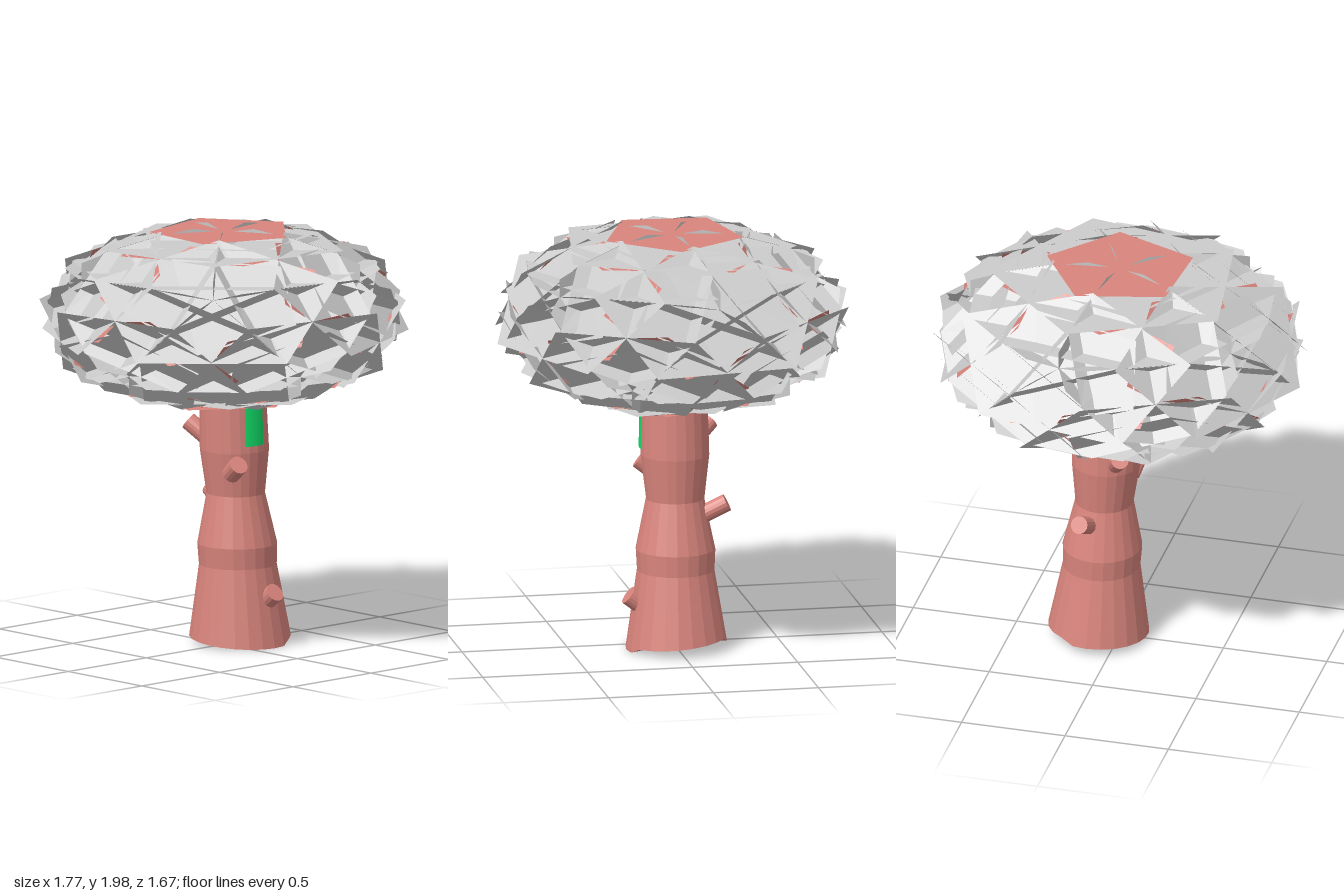
import * as THREE from 'three';

const grey = new THREE.MeshStandardMaterial({ color: 0xcccccc, side: THREE.DoubleSide, flatShading: true });
const pink = new THREE.MeshStandardMaterial({ color: 0xd9857d, side: THREE.DoubleSide, flatShading: true });
const bark = new THREE.MeshStandardMaterial({ color: 0xd9857d, flatShading: true });
const moss = new THREE.MeshStandardMaterial({ color: 0x12e06a, side: THREE.DoubleSide });

function add(parent, name, geometry, material) {
  const mesh = new THREE.Mesh(geometry, material);
  mesh.name = name;
  parent.add(mesh);
  return mesh;
}

// Move every vertex by a rule
function warp(geometry, rule) {
  const p = geometry.attributes.position, v = new THREE.Vector3();
  for (let i = 0; i < p.count; i++) {
    rule(v.fromBufferAttribute(p, i));
    p.setXYZ(i, v.x, v.y, v.z);
  }
  geometry.computeVertexNormals();
  return geometry;
}

// Twelve evenly spread axes of the crown: two poles and two staggered rings of five
const axes = [new THREE.Vector3(0, 1, 0), new THREE.Vector3(0, -1, 0)];
for (let i = 0; i < 10; i++) {
  const a = THREE.MathUtils.degToRad(-8 + i * 36);
  axes.push(new THREE.Vector3(0.8944 * Math.cos(a), i % 2 ? -0.4472 : 0.4472, 0.8944 * Math.sin(a)));
}

// Frame on an axis: z points outward, x towards a neighbouring axis
function axisFrame(axis) {
  const neighbour = axes.find((o) => Math.abs(o.dot(axis) - 0.447) < 0.01);
  const u = neighbour.clone().addScaledVector(axis, -neighbour.dot(axis)).normalize();
  return new THREE.Matrix4().makeBasis(u, axis.clone().cross(u), axis);
}

// Squash the unit ball into the crown, with full shoulders
const crownShape = (v) => v.set(v.x * 0.9, 1.575 + 0.425 * v.y * (1.2 - 0.2 * v.y * v.y), v.z * 0.85);

// Flat sheet across an axis; corners sit at the given degrees, repeated five times
function sheet(parent, name, axis, distance, radius, degrees, material) {
  const corners = [];
  for (let k = 0; k < 5; k++) {
    for (const deg of degrees) {
      const a = THREE.MathUtils.degToRad(deg + k * 72);
      corners.push(new THREE.Vector2(radius * Math.cos(a), radius * Math.sin(a)));
    }
  }
  const g = new THREE.ShapeGeometry(new THREE.Shape(corners));
  g.translate(0, 0, distance).applyMatrix4(axisFrame(axis));
  add(parent, name, warp(g, crownShape), material);
}

// Star of five thin upright blades around an axis
function bladeStar(parent, axis) {
  for (let k = 0; k < 5; k++) {
    const g = new THREE.CircleGeometry(1, 4).scale(0.18, 0.09, 1);
    g.rotateX(Math.PI / 2).translate(0.17, 0, 0.87).rotateZ(k * Math.PI * 0.4);
    g.applyMatrix4(axisFrame(axis));
    add(parent, 'leafBlade', warp(g, crownShape), grey);
  }
}

// Short cut branch between two points
function stub(parent, from, to, radius) {
  const a = new THREE.Vector3(...from), b = new THREE.Vector3(...to);
  const axis = b.clone().sub(a);
  const m = add(parent, 'branchStub', new THREE.CylinderGeometry(radius, radius, axis.length(), 16), bark);
  m.position.copy(a).add(b).multiplyScalar(0.5);
  m.quaternion.setFromUnitVectors(new THREE.Vector3(0, 1, 0), axis.normalize());
}

export function createModel() {
  const tree = new THREE.Group();
  tree.name = 'tree';

  // Trunk: waisted profile, leaning slightly, with a slanted and stepped cut at the foot
  const profile = [[0, 0], [0.238, 0], [0.182, 0.38], [0.187, 0.48], [0.137, 0.72],
    [0.162, 0.93], [0.156, 1.2], [0.14, 1.4], [0, 1.4]].map(([r, y]) => new THREE.Vector2(r, y));
  const trunk = warp(new THREE.LatheGeometry(profile, 22), (v) => {
    if (v.y < 0.01) v.y = Math.max(0, 0.025 - 0.08 * v.z + (v.x > 0.11 ? 0.025 : 0));
    v.x += 0.104 - 0.04 * v.y;
  });
  add(tree, 'trunk', trunk, bark);

  // Branch stubs
  stub(tree, [0.11, 0.2, 0.14], [0.11, 0.27, 0.23], 0.046);
  stub(tree, [-0.03, 0.83, 0.08], [-0.047, 0.885, 0.15], 0.045);
  stub(tree, [0.11, 0.63, -0.1], [0.135, 0.7, -0.235], 0.042);
  stub(tree, [0, 0.97, -0.1], [-0.05, 1.05, -0.19], 0.042);

  // Moss patch hugging the front of the trunk
  const patch = new THREE.CylinderGeometry(0.163, 0.168, 0.3, 5, 1, true, -0.42, 0.63);
  add(tree, 'mossPatch', patch, moss).position.set(0.061, 1.115, 0);

  // Crown: star-shaped ball of sheets that cut through one another
  const crown = new THREE.Group();
  crown.name = 'crown';
  axes.forEach((axis, i) => {
    sheet(crown, 'outerLeafSheet', axis, 0.727, 0.687, [0], grey);
    sheet(crown, 'crossedLeafSheet', axis, 0.82, 0.5, [28], grey);
    sheet(crown, 'wideLeafSheet', axis, 0.49, 0.82, [22.4, 49.6], grey);
    sheet(crown, 'pinkLeafSheet', axis, 0.7, 0.62, [14], pink);
    bladeStar(crown, axis);
    // Flat pink sheets close the top and bottom
    if (i < 2) sheet(crown, 'pinkCap', axis, 0.9, 0.4, [-12], pink);
  });
  tree.add(crown);

  return tree;
}
